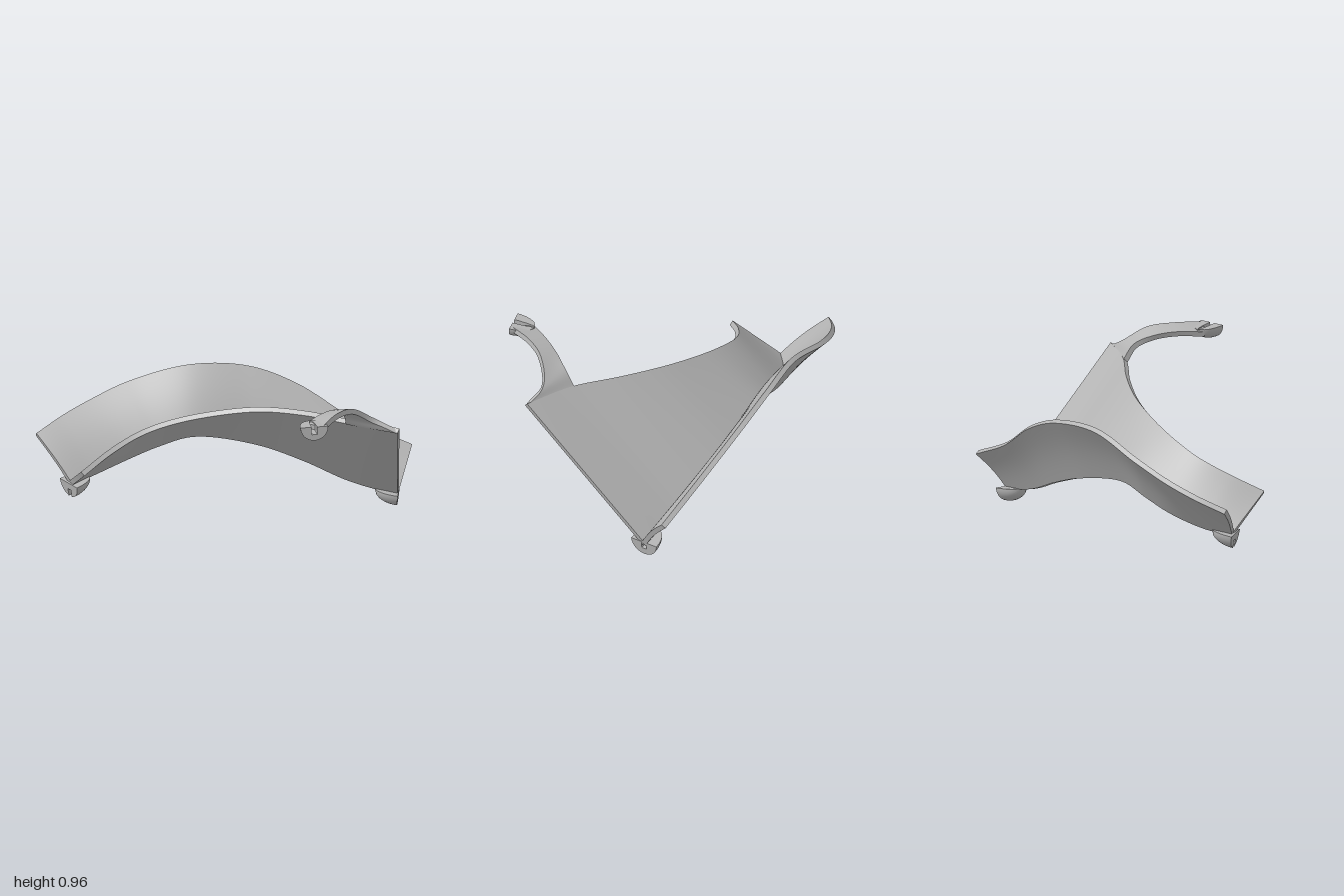
import * as THREE from 'three';
import { toCreasedNormals } from 'three/addons/utils/BufferGeometryUtils.js';

const grey = new THREE.MeshStandardMaterial({ color: 0xb4b4b4 });
grey.name = 'plain grey';

const curve = (pts) => new THREE.CatmullRomCurve3(pts.map((p) => new THREE.Vector3(...p)));

// Solid sheet ruled between two edge curves, thickened along its normals
function ruledSheet(name, edgeA, edgeB, thickness, nu, nv, bow = 0) {
  const point = (u, v) => edgeA.getPoint(u).lerp(edgeB.getPoint(u), v);
  const normal = (u, v) => {
    const e = 0.01;
    const du = point(Math.min(u + e, 1), v).sub(point(Math.max(u - e, 0), v));
    const dv = point(u, 1).sub(point(u, 0));
    return du.cross(dv).normalize();
  };
  const pos = [], index = [], ring = 2 * (nv + 1);
  for (let i = 0; i <= nu; i++) {
    for (let k = 0; k < ring; k++) {
      const top = k <= nv;
      const v = (top ? k : ring - 1 - k) / nv, u = i / nu;
      const offset = (top ? 0.5 : -0.5) * thickness + bow * Math.sin(Math.PI * v);
      pos.push(...point(u, v).addScaledVector(normal(u, v), offset).toArray());
    }
  }
  for (let i = 0; i < nu; i++) {
    for (let k = 0; k < ring; k++) {
      const a = i * ring + k, d = i * ring + (k + 1) % ring;
      index.push(a, a + ring, d + ring, a, d + ring, d);
    }
  }
  // End caps
  const last = nu * ring;
  for (let j = 0; j < nv; j++) {
    const a = j, b = j + 1, c = ring - 2 - j, d = ring - 1 - j;
    index.push(a, b, c, a, c, d);
    index.push(last + a, last + c, last + b, last + a, last + d, last + c);
  }
  const geo = new THREE.BufferGeometry();
  geo.setAttribute('position', new THREE.Float32BufferAttribute(pos, 3));
  geo.setIndex(index);
  const mesh = new THREE.Mesh(toCreasedNormals(geo, 0.7), grey);
  mesh.name = name;
  return mesh;
}

// Half-round clip: slotted flat face, tapering back to a point under the sheet
function clip(name, position, facing, slotAtTop, r = 0.085, depth = 0.14) {
  const w = 0.016, d = 0.045, pts = [];
  for (let i = 0; i <= 24; i++) {
    const a = Math.PI * (1 + i / 24);
    if (!slotAtTop && i === 12) {
      pts.push([-w, -r], [-w, -r + d], [w, -r + d], [w, -r]);
    } else {
      pts.push([r * Math.cos(a), r * Math.sin(a)]);
    }
  }
  if (slotAtTop) pts.push([w, 0], [w, -d], [-w, -d], [-w, 0]);
  const shape = new THREE.Shape(pts.map((p) => new THREE.Vector2(...p)));
  const geo = new THREE.ExtrudeGeometry(shape, { depth, steps: 8, bevelEnabled: false });
  geo.translate(0, 0, -depth);
  const p = geo.attributes.position;
  for (let i = 0; i < p.count; i++) {
    const t = -p.getZ(i) / depth;
    const s = Math.max(0.03, Math.sqrt(Math.max(0, 1 - t * t)));
    p.setXY(i, p.getX(i) * s, p.getY(i) * s);
  }
  geo.deleteAttribute('normal');
  geo.deleteAttribute('uv');
  const mesh = new THREE.Mesh(toCreasedNormals(geo, 0.6), grey);
  mesh.name = name;
  mesh.position.set(...position);
  mesh.lookAt(new THREE.Vector3(...position).add(new THREE.Vector3(...facing)));
  return mesh;
}

export function createModel() {
  const group = new THREE.Group();
  group.name = 'curvedChannel';

  // Fold line at the bottom of the channel
  const valley = curve([
    [-0.70, 0.19, 0.77], [-0.68, 0.22, 0.6], [-0.62, 0.28, 0.4], [-0.54, 0.34, 0.25], [-0.42, 0.395, 0.09],
    [-0.2, 0.34, -0.19], [0, 0.25, -0.38], [0.2, 0.15, -0.54], [0.41, 0.075, -0.73],
  ]);
  // Upper edge of the wide inner sheet
  const innerEdge = curve([
    [-0.44, 0.37, 0.90], [-0.43, 0.455, 0.7], [-0.385, 0.53, 0.52], [-0.29, 0.59, 0.38], [-0.12, 0.655, 0.22],
    [0.12, 0.72, 0.065], [0.4, 0.76, -0.04], [0.7, 0.785, -0.115], [0.99, 0.79, -0.24],
  ]);
  // Upper edge of the narrow outer sheet
  const outerEdge = curve([
    [-0.99, 0.40, 0.78], [-0.97, 0.47, 0.6], [-0.92, 0.54, 0.43], [-0.82, 0.63, 0.23], [-0.6, 0.73, -0.04],
    [-0.4, 0.715, -0.30], [-0.2, 0.62, -0.49], [0.08, 0.43, -0.69], [0.33, 0.30, -0.90],
  ]);
  group.add(ruledSheet('innerSheet', valley, innerEdge, 0.03, 80, 10));
  group.add(ruledSheet('outerSheet', valley, outerEdge, 0.03, 80, 10, 0.012));

  // Curved arm rising from the back corner
  const armLeft = curve([
    [0.69, 0.78, -0.11], [0.725, 0.86, -0.06], [0.755, 0.905, 0.04], [0.79, 0.925, 0.17], [0.83, 0.92, 0.32],
  ]);
  const armRight = curve([
    [0.98, 0.785, -0.235], [0.875, 0.84, -0.15], [0.86, 0.93, -0.01], [0.89, 0.95, 0.13], [0.96, 0.945, 0.29],
  ]);
  group.add(ruledSheet('arm', armLeft, armRight, 0.03, 32, 6));

  // Clips at both channel ends and at the arm tip
  group.add(clip('frontClip', [-0.70, 0.195, 0.785], [-0.1, -0.15, 1], false));
  group.add(clip('backClip', [0.41, 0.09, -0.735], [0.7, -0.1, -0.7], true));
  group.add(clip('armClip', [0.94, 0.96, 0.345], [0.87, 0.1, 0.5], true, 0.08, 0.13));
  return group;
}
